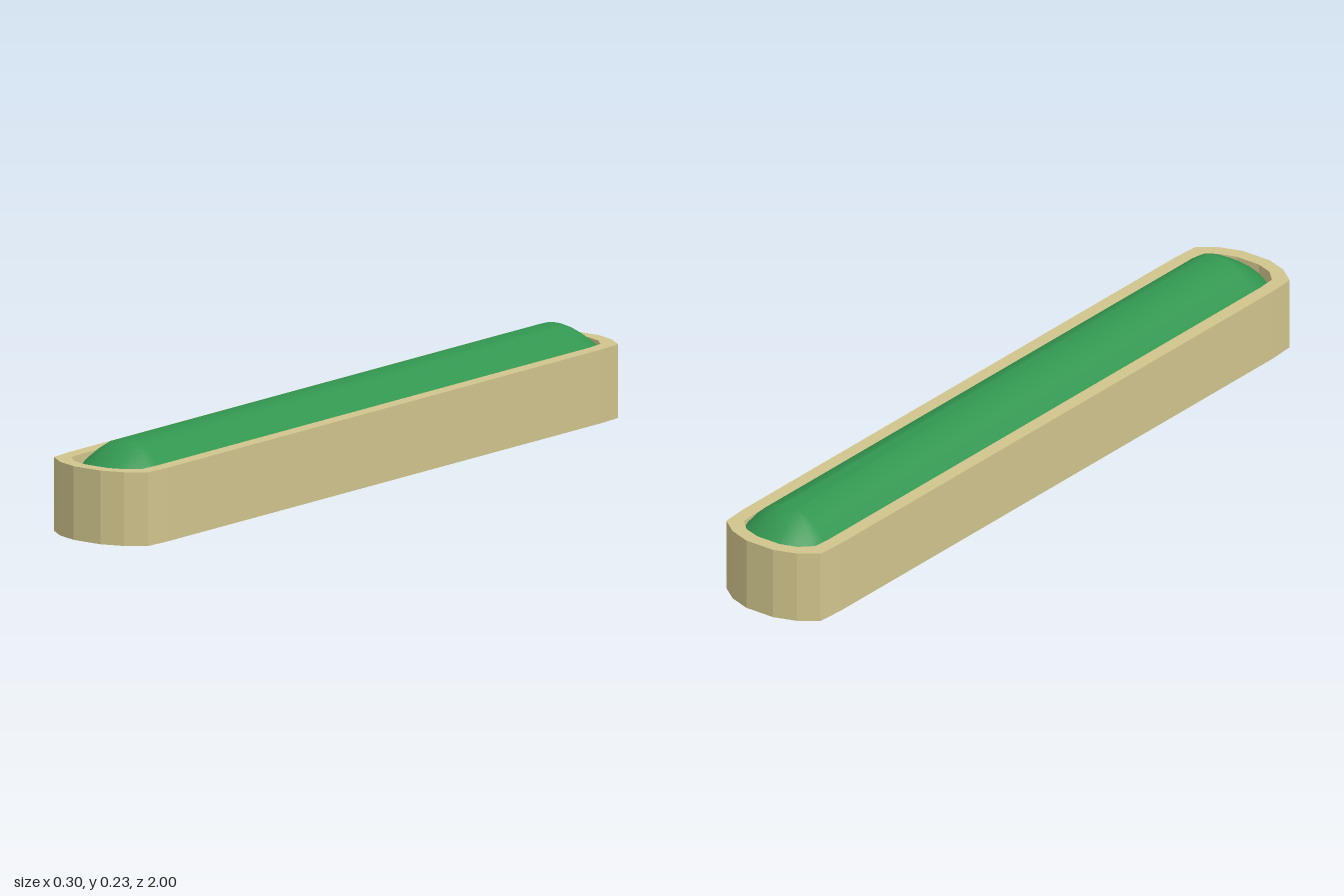
import * as THREE from 'three';
import { mergeVertices } from 'three/addons/utils/BufferGeometryUtils.js';

// Mirrors one quarter outline (from side to end) into a closed loop.
function mirrorOutline(quarter) {
  const back = [...quarter].reverse();
  return [
    ...quarter.map(([x, z]) => new THREE.Vector2(x, z)),
    ...back.map(([x, z]) => new THREE.Vector2(-x, z)),
    ...quarter.map(([x, z]) => new THREE.Vector2(-x, -z)),
    ...back.map(([x, z]) => new THREE.Vector2(x, -z)),
  ];
}

// Open-bottomed kerb wall with faceted rounded ends
function createKerb() {
  const shape = new THREE.Shape(mirrorOutline([[0.152, 0.87], [0.147, 0.945], [0.1, 0.98], [0.042, 1]]));
  shape.holes.push(new THREE.Path(mirrorOutline([[0.115, 0.87], [0.111, 0.92], [0.08, 0.95], [0.035, 0.965]])));
  const geometry = new THREE.ExtrudeGeometry(shape, { depth: 0.186, bevelEnabled: false });
  geometry.rotateX(-Math.PI / 2);
  const material = new THREE.MeshStandardMaterial({ color: 0xd0c48c, flatShading: true });
  const mesh = new THREE.Mesh(geometry, material);
  mesh.name = 'kerbWall';
  return mesh;
}

// Long hedge mound: stacked stadium rings of [half width, half length, height]
function createHedge() {
  const rings = [
    [0.127, 0.985, 0.155], [0.1, 0.952, 0.186], [0.075, 0.918, 0.209],
    [0.05, 0.89, 0.226], [0.0225, 0.87, 0.235],
  ];
  const steps = 8, straight = 0.86, count = 2 * (steps + 1);
  const positions = [], index = [];
  for (const [halfWidth, halfLength, y] of rings) {
    for (const end of [1, -1]) {
      for (let i = 0; i <= steps; i++) {
        const a = (i / steps) * Math.PI;
        positions.push(
          end * halfWidth * Math.cos(a), y,
          end * (straight + (halfLength - straight) * Math.sin(a)));
      }
    }
  }
  for (let r = 0; r < rings.length - 1; r++) {
    for (let i = 0; i < count; i++) {
      const a = r * count + i, b = r * count + (i + 1) % count;
      index.push(a, a + count, b, b, a + count, b + count);
    }
  }
  // Flat crown
  const top = (rings.length - 1) * count;
  for (let i = 1; i < count - 1; i++) index.push(top, top + i + 1, top + i);
  let geometry = new THREE.BufferGeometry();
  geometry.setAttribute('position', new THREE.Float32BufferAttribute(positions, 3));
  geometry.setIndex(index);
  geometry = mergeVertices(geometry);
  geometry.computeVertexNormals();

  const material = new THREE.MeshStandardMaterial({ color: 0x329650, side: THREE.DoubleSide });
  const mound = new THREE.Mesh(geometry, material);
  mound.name = 'hedgeMound';

  // Flat underside closing the mound
  const outline = [];
  for (let i = 0; i < count; i++) outline.push(new THREE.Vector2(positions[3 * i], positions[3 * i + 2]));
  const base = new THREE.ShapeGeometry(new THREE.Shape(outline));
  base.rotateX(Math.PI / 2);
  base.translate(0, rings[0][2], 0);
  const underside = new THREE.Mesh(base, material);
  underside.name = 'hedgeUnderside';

  const hedge = new THREE.Group();
  hedge.name = 'hedge';
  hedge.add(mound, underside);
  hedge.position.set(0.0125, 0, -0.003);
  return hedge;
}

export function createModel() {
  const model = new THREE.Group();
  model.name = 'planter';
  model.add(createKerb(), createHedge());
  return model;
}
